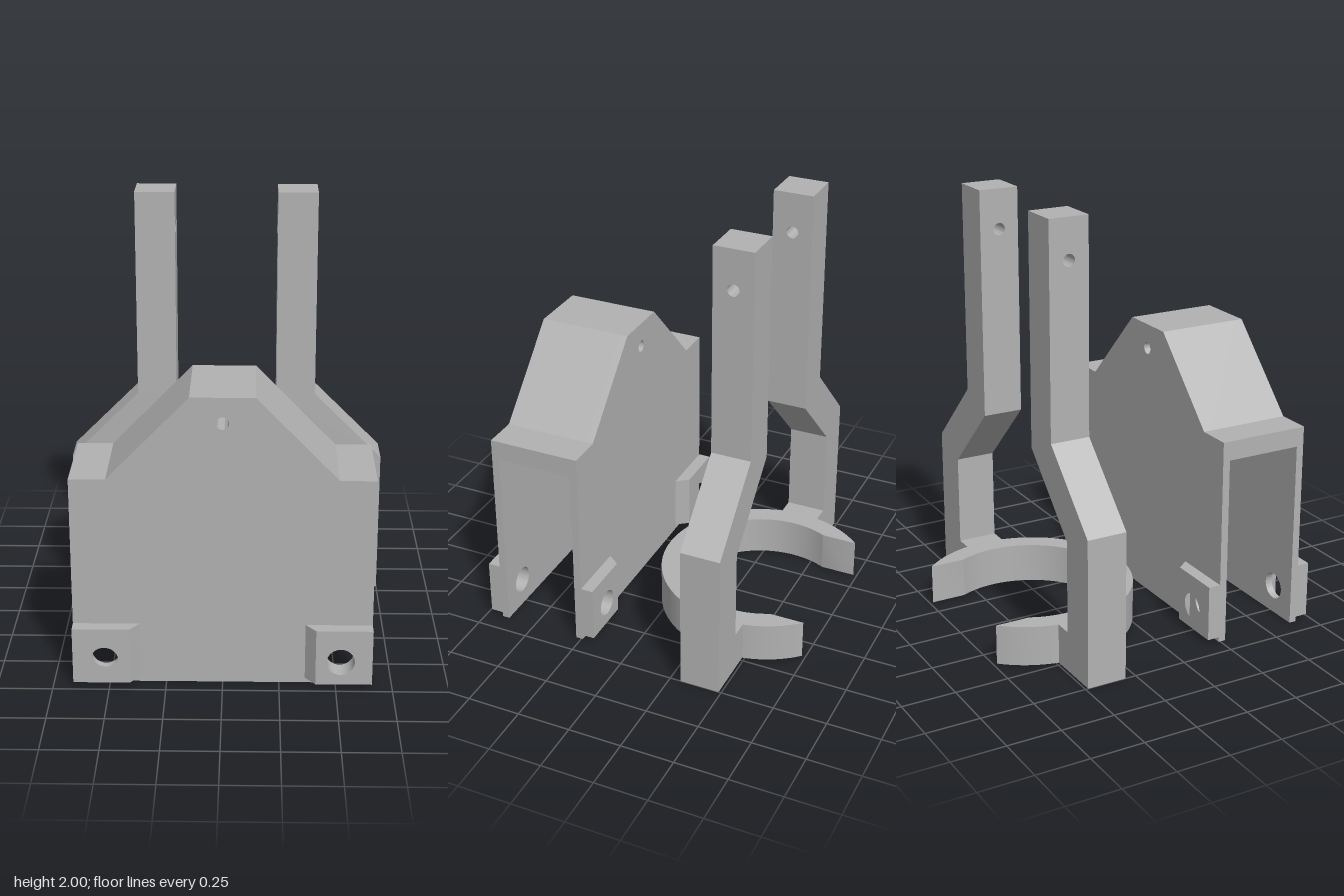
import * as THREE from 'three';
import { toCreasedNormals } from 'three/addons/utils/BufferGeometryUtils.js';

const grey = new THREE.MeshStandardMaterial({ color: 0xb2b2b2 });
grey.name = 'plain grey';

// Closed polygon with optional round holes given as [x, y, radius]
function polygon(points, holes = []) {
  const shape = new THREE.Shape(points.map(([x, y]) => new THREE.Vector2(x, y)));
  for (const [x, y, r] of holes) {
    shape.holes.push(new THREE.Path().absarc(x, y, r, 0, Math.PI * 2, true));
  }
  return shape;
}

const rect = (x0, y0, x1, y1) => [[x0, y0], [x1, y0], [x1, y1], [x0, y1]];

function extrude(shape, depth) {
  return new THREE.ExtrudeGeometry(shape, { depth, bevelEnabled: false, curveSegments: 32 });
}

function add(parent, name, geometry) {
  const mesh = new THREE.Mesh(toCreasedNormals(geometry, 0.5), grey);
  mesh.name = name;
  parent.add(mesh);
}

export function createModel() {
  const model = new THREE.Group();
  model.name = 'bracketAndYoke';

  // Housing: two thin walls joined by a solid top, open at the sides and below
  const housing = new THREE.Group();
  housing.name = 'housing';
  model.add(housing);
  const pinHole = [0, 1.227, 0.028];
  const boltHoles = [[-0.52, 0.133, 0.062], [0.52, 0.133, 0.062]];
  const shoulders = [[0.66, 0.97], [0.5, 0.97], [0.14, 1.342], [-0.14, 1.342], [-0.5, 0.97], [-0.66, 0.97]];
  const wall = polygon([[-0.66, 0], [0.66, 0], ...shoulders], [pinHole, ...boltHoles]);
  const top = polygon([[-0.66, 0.88], [0.66, 0.88], ...shoulders], [pinHole]);
  add(housing, 'frontWall', extrude(wall, 0.035).translate(0, 0, 0.637));
  add(housing, 'backWall', extrude(wall, 0.035).translate(0, 0, 0.242));
  add(housing, 'solidTop', extrude(top, 0.36).translate(0, 0, 0.277));

  // Bolt lugs at the four lower corners, chamfered on their inner edge
  for (const s of [-1, 1]) {
    for (const [side, z0, z1] of [['front', 0.672, 0.73], ['back', 0.242, 0.184]]) {
      const name = side + (s > 0 ? 'Left' : 'Right') + 'Lug';
      const pad = polygon(rect(s * 0.41, 0.023, s * 0.66, 0.285), [[s * 0.52, 0.133, 0.062]]);
      add(housing, name, extrude(pad, 0.058).translate(0, 0, Math.min(z0, z1)));
      const wedge = polygon([[s * 0.41, -z0], [s * 0.41, -z1], [s * 0.365, -z0]]);
      add(housing, name + 'Chamfer', extrude(wedge, 0.262).rotateX(-Math.PI / 2).translate(0, 0.023, 0));
    }
  }

  // Yoke: an open ring carried by two cranked arms
  const yoke = new THREE.Group();
  yoke.name = 'yoke';
  yoke.position.z = -0.394;
  model.add(yoke);
  const outer = 0.489, inner = 0.394, gap = 0.353;
  const a = Math.acos(gap / outer), b = Math.acos(gap / inner);
  const ring = new THREE.Shape();
  ring.absarc(0, 0, outer, a, Math.PI - a, true);
  ring.absarc(0, 0, inner, Math.PI - b, b, false);
  ring.closePath();
  const ringGeometry = new THREE.ExtrudeGeometry(ring, { depth: 0.188, bevelEnabled: false, curveSegments: 64 });
  add(yoke, 'openRing', ringGeometry.rotateX(-Math.PI / 2));

  const width = 0.187;
  for (const s of [-1, 1]) {
    const side = s > 0 ? 'left' : 'right';
    // Lower arm with its foot reaching into the ring
    const crank = polygon([
      [0.44, 0], [0.75, 0], [0.75, 0.695], [0.425, 1.02], [0.239, 1.02],
      [0.239, 0.943], [0.564, 0.618], [0.564, 0.188], [0.44, 0.188],
    ].map(([x, y]) => [s * x, y]));
    add(yoke, side + 'LowerArm', extrude(crank, width).translate(0, 0, -width / 2));
    // Upright post with a cross hole near its tip
    const post = polygon(rect(-width / 2, 1.02, width / 2, 2), [[0, 1.815, 0.028]]);
    add(yoke, side + 'Post', extrude(post, 0.186).rotateY(Math.PI / 2).translate(s > 0 ? 0.239 : -0.425, 0, 0));
  }
  return model;
}
